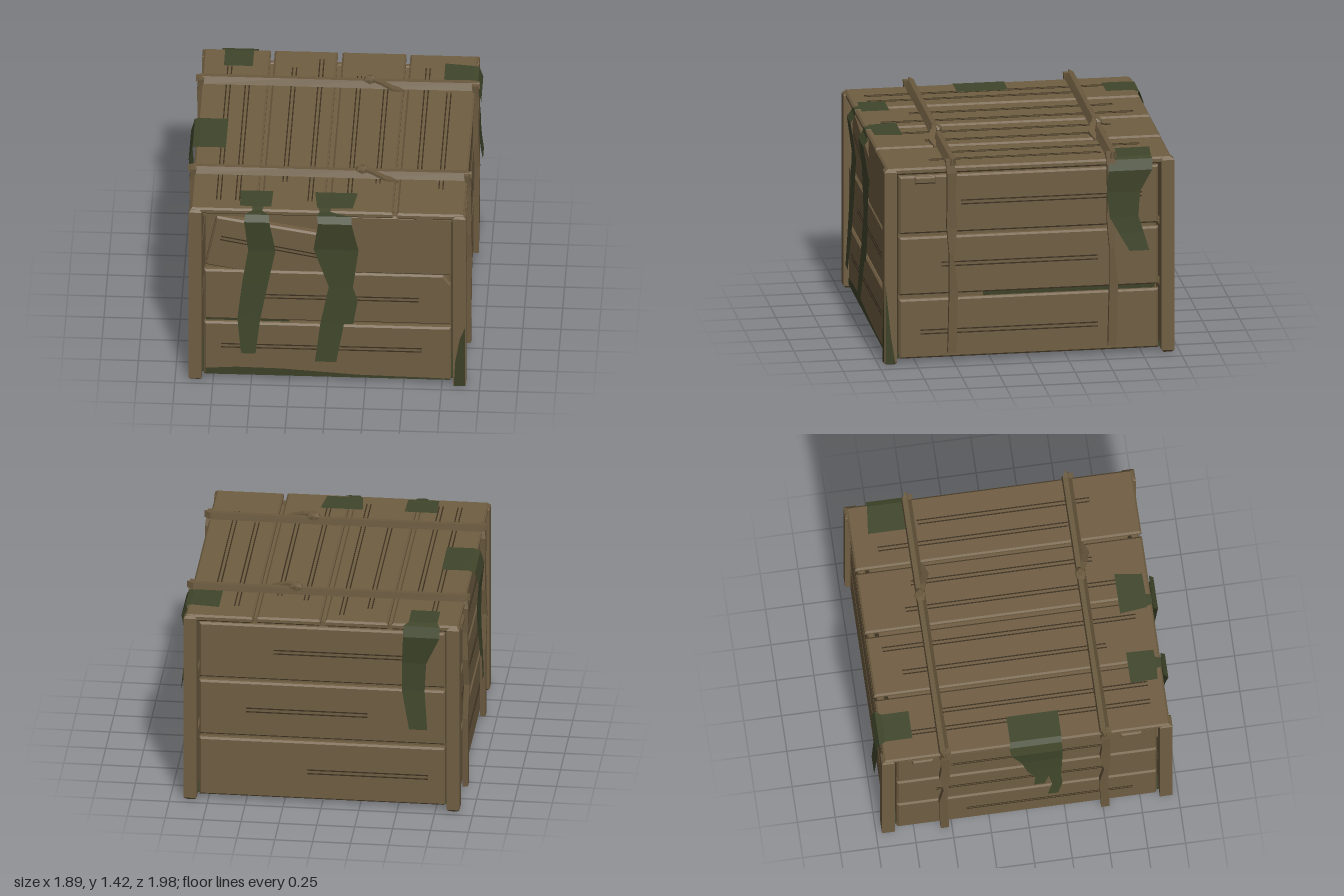
import * as THREE from 'three';

const mat = (name, color, extra = {}) => Object.assign(new THREE.MeshStandardMaterial({ color, ...extra }), { name });

export function createModel() {
  const wood = mat('wood', 0x705e42);
  const grain = mat('grain', 0x3b3020);
  const moss = mat('moss', 0x3c4128, { side: THREE.DoubleSide });
  const cloth = mat('cloth', 0x40462b, { side: THREE.DoubleSide });
  const rope = mat('strap', 0x6a593e);
  const root = new THREE.Group();
  root.name = 'crate';

  const add = (parent, name, geo, material, x = 0, y = 0, z = 0) => {
    const m = new THREE.Mesh(geo, material);
    m.name = name;
    m.position.set(x, y, z);
    parent.add(m);
    return m;
  };
  const shapeOf = pts => new THREE.Shape(pts.map(p => new THREE.Vector2(...p)));
  const rect = (w, h) => [[-w / 2, -h / 2], [w / 2, -h / 2], [w / 2, h / 2], [-w / 2, h / 2]];

  // Board cut from an outline, with chamfered edges, centred on z
  const board = (pts, depth, b = 0.012) => {
    const g = new THREE.ExtrudeGeometry(shapeOf(pts), {
      depth: depth - 2 * b, bevelThickness: b, bevelSize: b, bevelOffset: -b, bevelSegments: 1,
    });
    return g.translate(0, 0, b - depth / 2);
  };

  // Skin through cross-sections; closed rings are capped
  const loft = (rings, closed) => {
    const n = rings[0].length, idx = [];
    for (let i = 0; i < rings.length - 1; i++) {
      for (let j = 0; j < (closed ? n : n - 1); j++) {
        const a = i * n + j, b = i * n + (j + 1) % n;
        idx.push(a, b, a + n, b, b + n, a + n);
      }
    }
    if (closed) {
      const e = (rings.length - 1) * n;
      for (let j = 1; j < n - 1; j++) idx.push(0, j + 1, j, e, e + j, e + j + 1);
    }
    const g = new THREE.BufferGeometry();
    g.setAttribute('position', new THREE.Float32BufferAttribute(rings.flat(2), 3));
    g.setIndex(idx);
    const flat = g.toNonIndexed();
    flat.computeVertexNormals();
    return flat;
  };

  // Pair of dark grain lines on a face
  const grainPair = (parent, x0, x1, y, z, angle = 0) => {
    for (const s of [-1, 1]) {
      const m = add(parent, 'grainLine', new THREE.BoxGeometry(x1 - x0, 0.008, 0.002), grain,
        (x0 + x1) / 2 - Math.sin(angle) * s * 0.013, y + Math.cos(angle) * s * 0.013, z);
      m.rotation.z = angle;
    }
  };

  // Inner body and mossy underside with a bare patch
  add(root, 'innerBody', new THREE.BoxGeometry(1.61, 1.25, 1.71), wood, 0, 0.67, 0);
  add(root, 'underside', new THREE.BoxGeometry(1.72, 0.012, 1.8), moss, 0, 0.036, 0);
  const bare = add(root, 'barePatch', new THREE.ShapeGeometry(shapeOf([[0.78, 0.84], [0.65, 0.76], [0.59, 0.6], [0.74, 0.65]])), wood, 0, 0.028, 0);
  bare.rotation.x = Math.PI / 2;

  // Corner posts
  for (const x of [-1, 1]) for (const z of [-1, 1]) {
    const post = add(root, 'cornerPost', board(rect(0.085, 0.085), 1.335, 0.016), wood, x * 0.867, 0.6675, z * 0.92);
    post.rotation.x = Math.PI / 2;
  }

  // Walls: local z faces outward; each row is [bottom, top, grain start, grain end, grain height]
  const walls = {
    front: [0, 1.62, 0.93, [[0.03, 0.44, -0.7, 0.62, 0.26], [0.465, 0.85, -0.43, 0.6, 0.655]]],
    back: [Math.PI, 1.62, 0.93, [[0.03, 0.445, -0.1, 0.7, 0.23], [0.47, 0.86, -0.5, 0.3, 0.66], [0.885, 1.28, -0.32, 0.56, 1.09]]],
    right: [Math.PI / 2, 1.72, 0.885, [[0.03, 0.435, -0.72, 0.46, 0.21], [0.465, 0.86, -0.58, 0.46, 0.67], [0.885, 1.28, -0.45, 0.75, 1.09]]],
    left: [-Math.PI / 2, 1.72, 0.885, [[0.03, 0.445, -0.4, 0.7, 0.22], [0.47, 0.865, -0.6, 0.5, 0.67], [0.89, 1.28, -0.5, 0.55, 1.09]]],
  };
  const wall = {};
  for (const [name, [turn, w, out, rows]] of Object.entries(walls)) {
    const g = wall[name] = new THREE.Group();
    g.name = name + 'Wall';
    g.rotation.y = turn;
    root.add(g);
    rows.forEach(([y0, y1, a, b, gy], i) => {
      const h = y1 - y0, pts = rect(w, h);
      // chipped corner on the middle front plank
      if (name === 'front' && i === 1) pts.splice(2, 1, [w / 2, h / 2 - 0.07], [w / 2 - 0.05, h / 2]);
      add(g, 'wallPlank', board(pts, 0.05), wood, 0, (y0 + y1) / 2, out - 0.025);
      grainPair(g, a, b, gy, out + 0.001);
    });
  }

  // Upper front: one sound piece and a loose tilted plank beside it
  const f = wall.front;
  add(f, 'upperFrontPlank', board([[0.03, 0.852], [0.81, 0.852], [0.81, 1.3], [0.0, 1.3], [0.06, 1.05]], 0.05), wood, 0, 0, 0.905);
  add(f, 'loosePlank', board([[-0.805, 0.88], [0.09, 0.72], [0.09, 1.12], [-0.73, 1.26]], 0.06), wood, 0, 0, 0.885);
  grainPair(f, -0.71, 0.03, 1.025, 0.916, -0.19);
  add(f, 'cornerPatch', new THREE.BoxGeometry(0.1, 0.11, 0.008), wood, 0.76, 1.235, 0.932);
  add(f, 'topRail', new THREE.BoxGeometry(1.64, 0.04, 0.03), wood, 0, 1.285, 0.895);

  // Side catches below the lid
  for (const [side, xs] of [['right', [-0.69]], ['left', [-0.69, 0.69]]]) {
    for (const x of xs) add(wall[side], 'catch', board(rect(0.14, 0.05), 0.03, 0.01), wood, x, 1.255, 0.893);
  }

  // Moss stains as thin faces, and moss sunk in the gaps between planks
  const stain = (side, z, pts) => add(wall[side], 'mossStain', new THREE.ShapeGeometry(shapeOf(pts)), moss, 0, 0, z);
  stain('front', 0.933, [[-0.8, 0.035], [0.8, 0.035], [0.8, 0.045], [0.2, 0.057], [-0.3, 0.09], [-0.6, 0.095], [-0.8, 0.08]]);
  stain('front', 0.964, [[0.83, 0.01], [0.905, 0.01], [0.905, 0.47], [0.87, 0.38], [0.84, 0.2]]);
  stain('right', 0.912, [[-0.955, 0.01], [-0.89, 0.01], [-0.92, 0.2], [-0.955, 0.55]]);
  stain('front', 0.9, [[-0.8, 0.43], [-0.25, 0.43], [-0.25, 0.475], [-0.8, 0.475]]);
  stain('right', 0.855, [[-0.3, 0.425], [0.84, 0.425], [0.84, 0.475], [-0.3, 0.475]]);

  // Lid planks, running front to back
  const lid = new THREE.Group();
  lid.name = 'lid';
  root.add(lid);
  [[-0.9, -0.46], [-0.435, -0.02], [0.01, 0.43], [0.455, 0.9]].forEach(([a, b], i) => {
    const plank = add(lid, 'lidPlank', board(rect(b - a, 1.895), 0.045), wood, (a + b) / 2, i === 3 ? 1.318 : 1.322, 0);
    plank.rotation.x = -Math.PI / 2;
  });
  const lidGrain = new THREE.Group();
  lidGrain.name = 'lidGrain';
  lidGrain.rotation.set(-Math.PI / 2, 0, Math.PI / 2);
  root.add(lidGrain);
  // [x, back end, front end]
  for (const [x, z0, z1] of [[-0.72, -0.77, 0.84], [-0.595, -0.55, 0.84], [-0.295, -0.74, 0.61], [-0.12, -0.85, 0.83],
    [0.135, -0.66, 0.84], [0.315, -0.6, 0.6], [0.58, -0.78, 0.48], [0.73, -0.5, 0.64]]) {
    grainPair(lidGrain, -z1, -z0, -x, x > 0.45 ? 1.3415 : 1.3455);
  }

  // Straps over the lid and down both sides, each with a knot and loose tail
  const sideRows = [[0.02, 0.022, 1.39, 0.9], [0, 0.033, 1.3, 0.912], [0.005, 0.026, 1.12, 0.908], [0, 0.035, 0.93, 0.91],
    [0.005, 0.014, 0.74, 0.918], [-0.01, 0.028, 0.5, 0.912], [0, 0.028, 0.07, 0.91]];
  const across = [[-0.935, 1.375, 0.008], [-0.89, 1.372, 0.034], [-0.3, 1.37, 0.03], [0.2, 1.368, 0.032], [0.89, 1.372, 0.034], [0.93, 1.375, 0.008]];
  const tail = [[0.21, 1.405, 0, 0.015], [0.28, 1.395, 0.025, 0.02], [0.36, 1.365, 0.05, 0.022], [0.44, 1.335, 0.03, 0.014]];
  for (const z of [0.515, -0.548]) {
    const g = new THREE.Group();
    g.name = 'strap';
    root.add(g);
    add(g, 'strapTop', loft(across.map(([x, y, w]) => [[x, y - 0.022, z - w], [x, y + 0.022, z - w * 0.8],
      [x, y + 0.022, z + w * 0.2], [x, y - 0.022, z + w]]), true), rope);
    for (const s of [-1, 1]) {
      const rings = sideRows.map(([dz, w, y, out], i) => {
        const yy = s < 0 && i === 6 ? 0.005 : y, c = z + dz;
        const ring = [[s * (out - 0.022), yy, c - w], [s * (out + 0.014), yy, c - w], [s * (out + 0.014), yy, c + w], [s * (out - 0.022), yy, c + w]];
        return s > 0 ? ring : ring.reverse();
      });
      add(g, 'strapSide', loft(rings, true), rope);
    }
    const knot = add(g, 'knot', new THREE.IcosahedronGeometry(0.05, 0), rope, 0.21, 1.395, z - 0.005);
    knot.scale.set(1, 0.6, 0.85);
    add(g, 'strapTail', loft(tail.map(([x, y, dz, w]) => [[x, y - 0.01, z + dz - w], [x, y + 0.01, z + dz - w],
      [x, y + 0.01, z + dz + w], [x, y - 0.01, z + dz + w]]), true), rope);
  }

  // Cloth strips hung over the lid edge: rows are [edge, edge, height, distance outward]
  const strip = (name, place, rows) =>
    add(root, name, loft(rows.map(([a, b, y, o]) => [place(a, y, o), place(b, y, o)]), false), cloth);
  const onFront = (u, y, o) => [u, y, o];
  const onBack = (u, y, o) => [u, y, -o];
  const onRight = (u, y, o) => [o, y, u];
  const onLeft = (u, y, o) => [-o, y, u];
  const T = 1.351;
  strip('frontClothNarrow', onFront, [[-0.58, -0.365, T, 0.73], [-0.575, -0.37, T, 0.91], [-0.5, -0.42, T, 0.915], [-0.49, -0.43, 1.345, 0.95],
    [-0.54, -0.385, 1.312, 0.955], [-0.545, -0.38, 1.27, 0.985], [-0.52, -0.34, 1.03, 0.955], [-0.56, -0.39, 0.77, 0.96], [-0.59, -0.44, 0.5, 0.97], [-0.565, -0.47, 0.24, 0.99]]);
  strip('frontClothWide', onFront, [[-0.09, 0.19, T, 0.73], [-0.07, 0.165, T, 0.91], [-0.06, 0.02, T, 0.915], [-0.05, 0.02, 1.345, 0.95],
    [-0.07, 0.16, 1.312, 0.955], [-0.06, 0.16, 1.27, 0.985], [-0.09, 0.205, 1.05, 0.955], [0.01, 0.168, 0.76, 0.96], [-0.01, 0.2, 0.66, 0.965],
    [-0.045, 0.17, 0.48, 0.97], [-0.045, 0.11, 0.479, 0.97], [-0.08, 0.06, 0.19, 0.99]]);
  strip('backCloth', onBack, [[-0.76, -0.57, T, 0.74], [-0.76, -0.57, T, 0.92], [-0.78, -0.54, 1.34, 0.96], [-0.78, -0.54, 1.27, 0.985],
    [-0.69, -0.53, 1.07, 0.96], [-0.68, -0.53, 0.87, 0.96], [-0.7, -0.58, 0.6, 0.985]]);
  strip('rightCloth', onRight, [[-0.83, -0.58, T, 0.69], [-0.81, -0.57, T, 0.88], [-0.815, -0.53, 1.34, 0.915], [-0.81, -0.52, 1.27, 0.94],
    [-0.73, -0.51, 1.12, 0.93], [-0.72, -0.53, 0.95, 0.93], [-0.755, -0.59, 0.84, 0.935], [-0.79, -0.66, 0.72, 0.945]]);
  strip('leftCloth', onLeft, [[-0.11, 0.23, T, 0.7], [-0.11, 0.23, T, 0.88], [-0.12, 0.225, 1.34, 0.92], [-0.11, 0.23, 1.25, 0.945],
    [-0.04, 0.23, 1.05, 0.925], [0, 0.225, 0.87, 0.925], [0.05, 0.22, 0.75, 0.93]]);
  strip('leftClothEndShort', onLeft, [[0.05, 0.14, 0.75, 0.93], [0.04, 0.11, 0.65, 0.94]]);
  strip('leftClothEndLong', onLeft, [[0.14, 0.22, 0.75, 0.93], [0.16, 0.23, 0.61, 0.935], [0.13, 0.2, 0.45, 0.945]]);
  return root;
}
